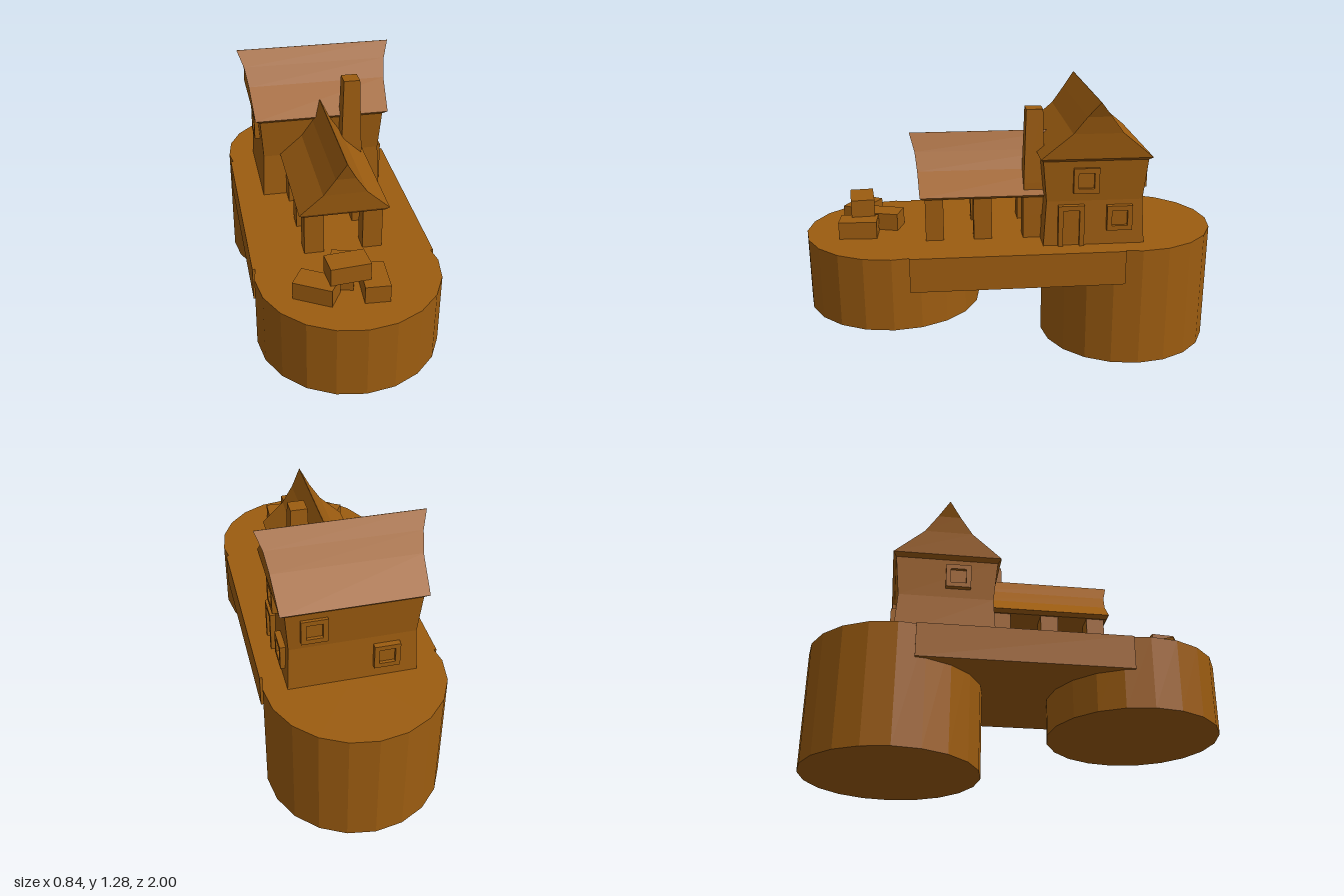
import * as THREE from 'three';

const wood = new THREE.MeshStandardMaterial({ color: 0x9c5c10, flatShading: true });
wood.name = 'warm brown';

// Stack of rectangular sections [y, halfX, halfZ], joined and capped
function loft(sections) {
  const rings = sections.map(([y, hx, hz]) =>
    [[-hx, y, hz], [hx, y, hz], [hx, y, -hz], [-hx, y, -hz]]);
  const pos = [];
  const quad = (a, b, c, d) => pos.push(...a, ...b, ...c, ...a, ...c, ...d);
  for (let k = 0; k < rings.length - 1; k++) {
    for (let i = 0; i < 4; i++) {
      const j = (i + 1) % 4;
      quad(rings[k][i], rings[k][j], rings[k + 1][j], rings[k + 1][i]);
    }
  }
  quad(...rings[rings.length - 1]);
  quad(...rings[0].slice().reverse());
  const g = new THREE.BufferGeometry();
  g.setAttribute('position', new THREE.Float32BufferAttribute(pos, 3));
  g.computeVertexNormals();
  return g;
}

function add(parent, name, geometry, x = 0, y = 0, z = 0, turn = 0) {
  const mesh = new THREE.Mesh(geometry, wood);
  mesh.name = name;
  mesh.position.set(x, y, z);
  mesh.rotation.y = turn;
  parent.add(mesh);
  return mesh;
}

// Raised frame around a recessed panel; local +z faces outward, y is the centre
function opening(parent, name, w, h, x, y, z, turn, sill = true) {
  const group = new THREE.Group();
  group.name = name;
  group.position.set(x, y, z);
  group.rotation.y = turn;
  const b = 0.023, d = 0.045;
  for (const s of [-1, 1]) {
    add(group, 'frameSide', new THREE.BoxGeometry(b, h, d), s * (w - b) / 2, 0, -d / 2);
  }
  const rail = new THREE.BoxGeometry(w - 2 * b, b, d);
  add(group, 'frameTop', rail, 0, (h - b) / 2, -d / 2);
  if (sill) add(group, 'frameSill', rail, 0, (b - h) / 2, -d / 2);
  add(group, 'panel', new THREE.BoxGeometry(w - 2 * b, h - b, 0.009), 0, 0, -0.02);
  parent.add(group);
}

export function createModel() {
  const model = new THREE.Group();
  model.name = 'houseOnPlatform';
  const ground = 0.585, cx = 0.012;

  // Platform: two drums of different height joined by a slab
  const drum = (name, bottom, z) => add(model, name,
    new THREE.CylinderGeometry(0.42, 0.42, ground - bottom, 20), 0, (ground + bottom) / 2, z);
  drum('frontDrum', 0.233, 0.58);
  drum('backDrum', 0, -0.58);
  add(model, 'bridgeSlab', new THREE.BoxGeometry(0.84, 0.165, 1), 0, ground - 0.0825, 0);

  // Main house with a slight waist and a flared roof
  add(model, 'houseWalls', loft([
    [ground - 0.005, 0.3, 0.24], [0.8, 0.29, 0.226], [1.0, 0.305, 0.245],
  ]), cx, 0, -0.365);
  add(model, 'houseRoof', loft([
    [0.995, 0.306, 0.245], [1.01, 0.328, 0.26], [1.13, 0.338, 0.115],
    [1.21, 0.352, 0.055], [1.28, 0.38, 0.001],
  ]), cx, 0, -0.365);

  // Open porch: flared roof on six posts
  add(model, 'porchRoof', loft([
    [0.79, 0.188, 0.345], [0.805, 0.208, 0.355], [0.905, 0.1, 0.363],
    [0.986, 0.046, 0.373], [1.07, 0.001, 0.397],
  ]), cx, 0, 0.09);
  const post = new THREE.BoxGeometry(0.092, 0.22, 0.086);
  for (const side of [-1, 1]) {
    for (const z of [0.379, 0.15, -0.086]) {
      add(model, 'porchPost', post, cx + side * 0.136, ground + 0.105, z);
    }
  }

  // Chimney
  add(model, 'chimney', loft([[0.7, 0.05, 0.05], [0.86, 0.05, 0.05], [1.21, 0.039, 0.039]]),
    0.147, 0, -0.095);

  // Door and windows
  const q = Math.PI / 2;
  opening(model, 'door', 0.123, 0.197, 0.33, 0.684, -0.254, q, false);
  opening(model, 'rightUpperWindow', 0.12, 0.12, 0.33, 0.902, -0.321, q);
  opening(model, 'rightLowerWindow', 0.12, 0.12, 0.33, 0.717, -0.482, q);
  opening(model, 'leftWindow', 0.12, 0.12, -0.308, 0.905, -0.31, -q);
  opening(model, 'backUpperWindow', 0.12, 0.12, 0.19, 0.902, -0.621, Math.PI);
  opening(model, 'backLowerWindow', 0.12, 0.12, -0.14, 0.702, -0.621, Math.PI);

  // Stack of crates: x, z, level, turn
  const crate = new THREE.BoxGeometry(0.18, 0.083, 0.112);
  for (const [x, z, level, turn] of [
    [-0.17, 0.735, 0, -0.52], [-0.037, 0.63, 0, q - 0.28],
    [0.082, 0.742, 0, q - 0.05], [-0.035, 0.728, 1, 0.09],
  ]) {
    add(model, 'crate', crate, x, ground + 0.0415 + level * 0.083, z, turn);
  }
  return model;
}
